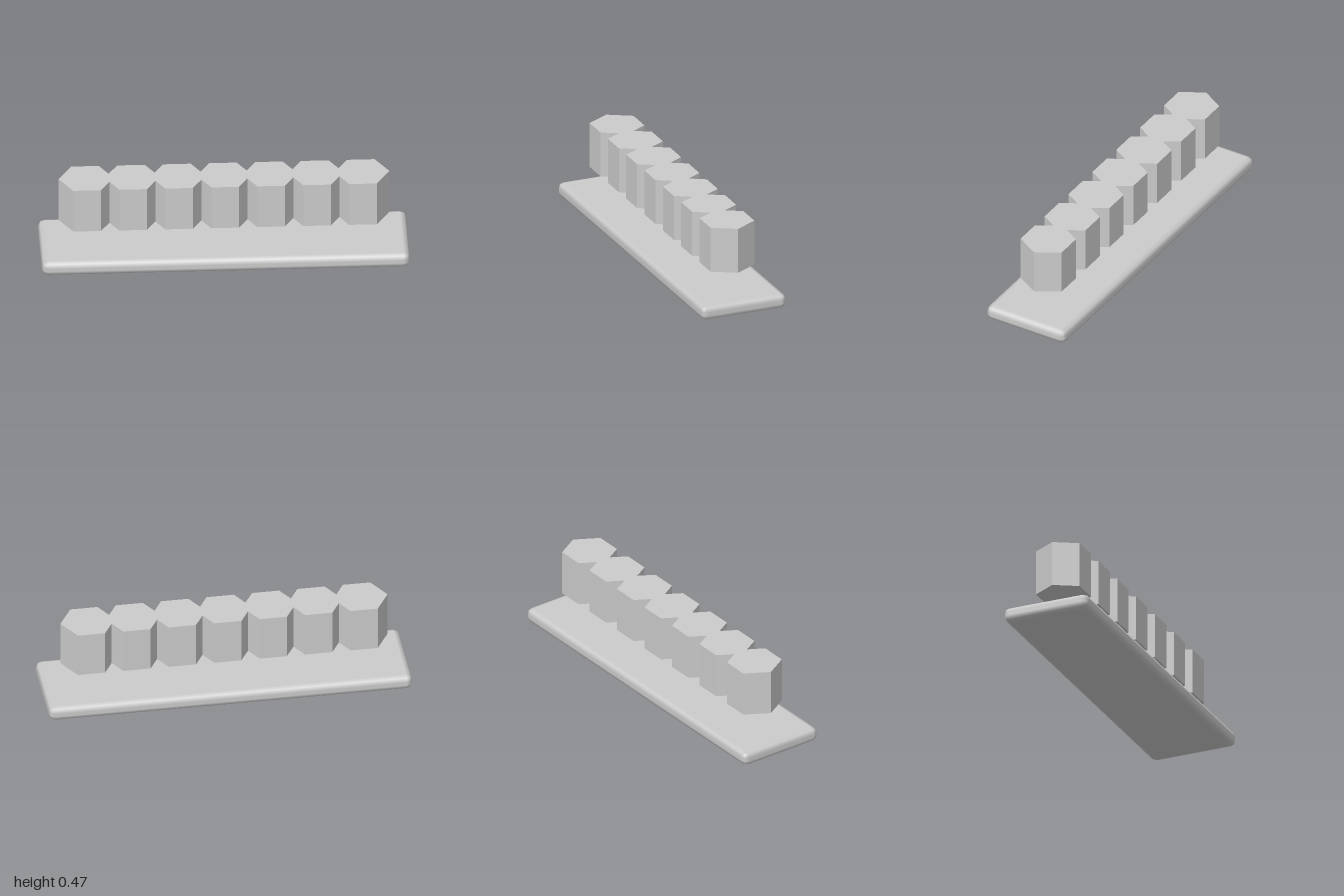
import * as THREE from 'three';
import { RoundedBoxGeometry } from 'three/addons/geometries/RoundedBoxGeometry.js';

export function createModel() {
  const model = new THREE.Group();
  model.name = 'hexagonRowOnPlate';
  const grey = new THREE.MeshStandardMaterial({ color: 0xcccccc });
  const greyFlat = new THREE.MeshStandardMaterial({ color: 0xcccccc, flatShading: true });

  // Flat plate with coarsely rounded edges
  const plateHeight = 0.083;
  const plate = new THREE.Mesh(new RoundedBoxGeometry(2, plateHeight, 0.5, 1, 0.033), grey);
  plate.name = 'basePlate';
  plate.position.y = plateHeight / 2;
  model.add(plate);

  // Row of overlapping hexagonal prisms, joined into one outline
  const count = 7, spacing = 0.25, radius = 0.15;
  const halfDepth = radius * Math.sin(Math.PI / 3);
  const notchDepth = (radius - spacing / 2) * Math.sqrt(3);
  const bottom = 0.213, top = 0.47;

  // Front half of the outline, running left to right between the end tips
  const side = [];
  for (let i = 0; i < count; i++) {
    const x = (i - (count - 1) / 2) * spacing;
    side.push([x - radius / 2, halfDepth], [x + radius / 2, halfDepth]);
    if (i < count - 1) side.push([x + spacing / 2, notchDepth]);
  }
  const tip = ((count - 1) / 2) * spacing + radius;
  const outline = [
    [-tip, 0],
    ...side.map(([x, z]) => [x, -z]),
    [tip, 0],
    ...side.slice().reverse(),
  ];
  const shape = new THREE.Shape(outline.map(([x, z]) => new THREE.Vector2(x, z)));
  const rowGeometry = new THREE.ExtrudeGeometry(shape, { depth: top - bottom, bevelEnabled: false });
  rowGeometry.rotateX(-Math.PI / 2);
  const row = new THREE.Mesh(rowGeometry, greyFlat);
  row.name = 'hexagonRow';
  row.position.y = bottom;
  model.add(row);

  return model;
}
